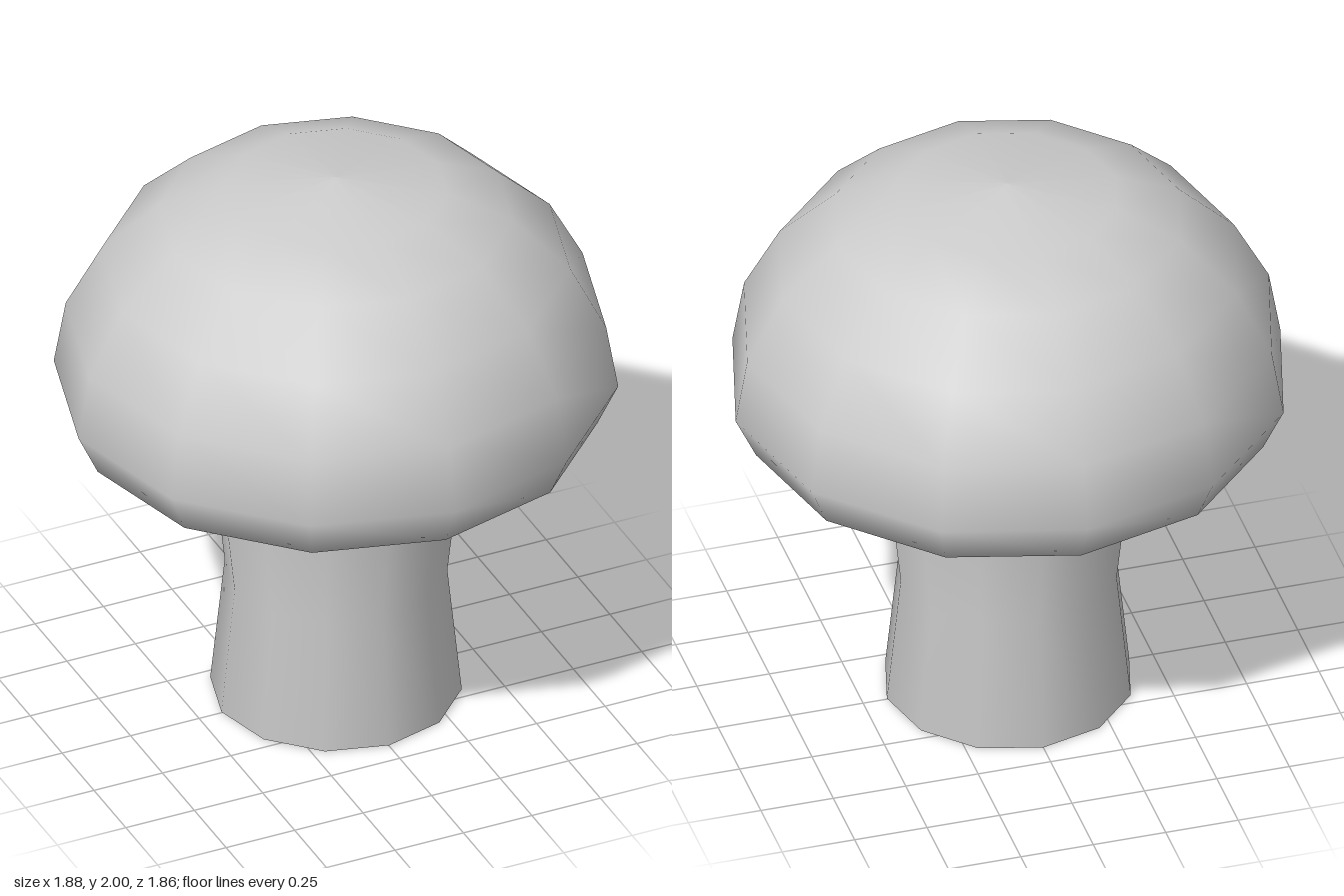
import * as THREE from 'three';

const SIDES = 12;

// Smooth twelve-sided turned part from a [radius, height] profile, bottom to top
function turned(name, profile, depth) {
  const points = profile.map(([r, y]) => new THREE.Vector2(r, y));
  const geometry = new THREE.LatheGeometry(points, SIDES);
  geometry.scale(1, 1, depth);
  const material = new THREE.MeshStandardMaterial({ color: 0xcccccc });
  const mesh = new THREE.Mesh(geometry, material);
  mesh.name = name;
  return mesh;
}

export function createModel() {
  const mushroom = new THREE.Group();
  mushroom.name = 'mushroom';

  // Waisted stem, closed underneath, running up into the cap
  mushroom.add(turned('stem', [
    [0, 0], [0.36, 0], [0.418, 0.003], [0.37, 0.47], [0.435, 1.075], [0.445, 1.16],
  ], 1));

  // Domed cap with a shallow hollow underside
  mushroom.add(turned('cap', [
    [0.43, 1.15], [0.7, 1.11], [0.87, 1.075], [0.94, 1.225], [0.9, 1.455],
    [0.78, 1.68], [0.59, 1.86], [0.37, 1.955], [0, 2],
  ], 0.99));

  return mushroom;
}
